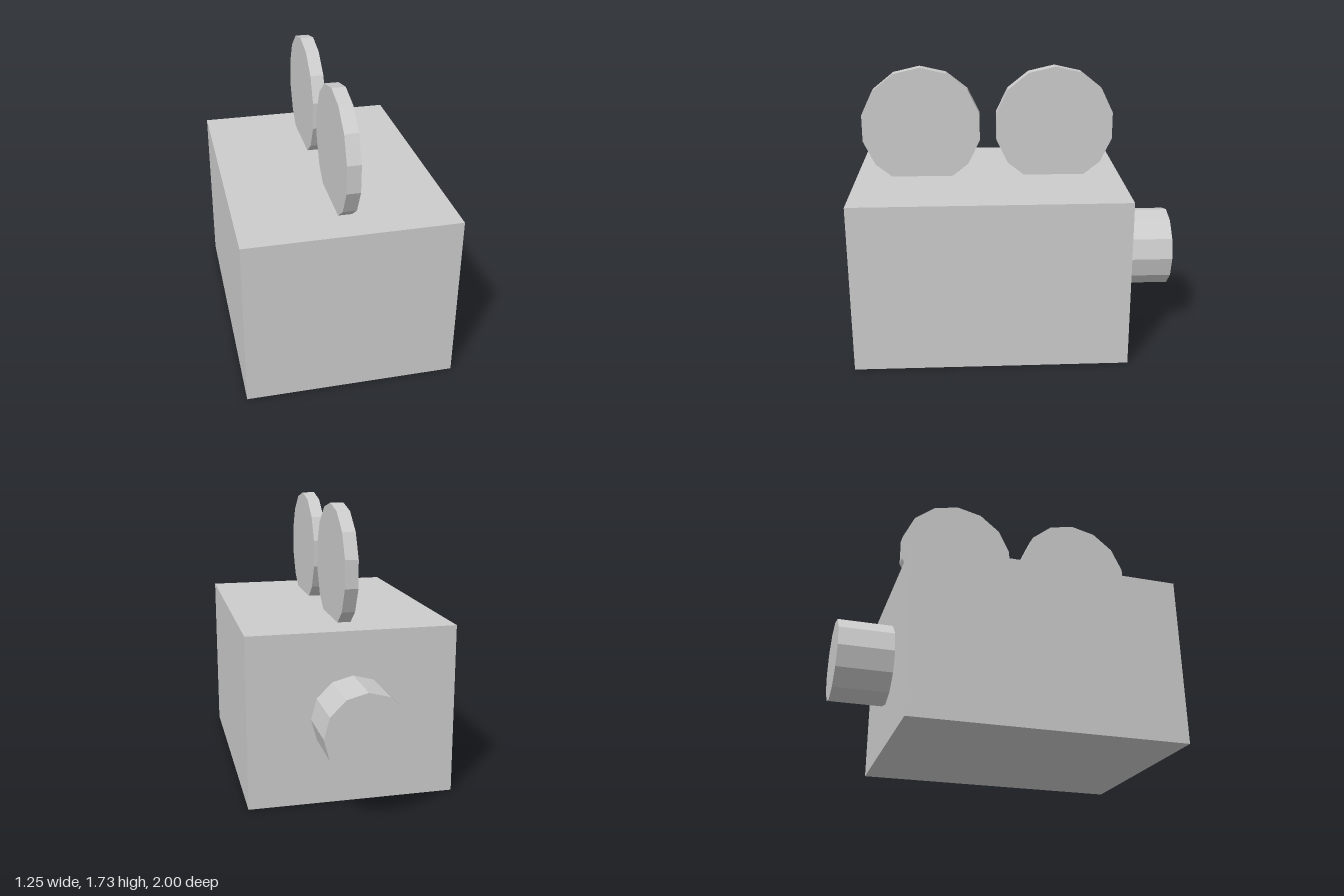
import * as THREE from 'three';

export function createModel() {
  const model = new THREE.Group();
  const grey = new THREE.MeshStandardMaterial({ color: 0xcccccc, flatShading: true });
  grey.name = 'light grey';

  const add = (name, geometry, x, y, z) => {
    const mesh = new THREE.Mesh(geometry, grey);
    mesh.name = name;
    mesh.position.set(x, y, z);
    model.add(mesh);
  };

  // Box body standing on the ground
  add('body', new THREE.BoxGeometry(1.25, 1.04, 1.665), 0, 0.52, 0.1675);

  // Two thin 14-sided reels, sunk slightly into the top of the body
  const reel = new THREE.CylinderGeometry(0.375, 0.375, 0.08, 14);
  reel.rotateY(Math.PI / 2).rotateZ(Math.PI / 2); // one corner points straight up
  add('frontReel', reel, 0, 1.355, 0.585);
  add('rearReel', reel, 0, 1.355, -0.25);

  // Twelve-sided lens on the back face
  const lens = new THREE.CylinderGeometry(0.25, 0.25, 0.335, 12);
  lens.rotateX(Math.PI / 2);
  add('lens', lens, 0, 0.525, -0.8325);

  return model;
}
